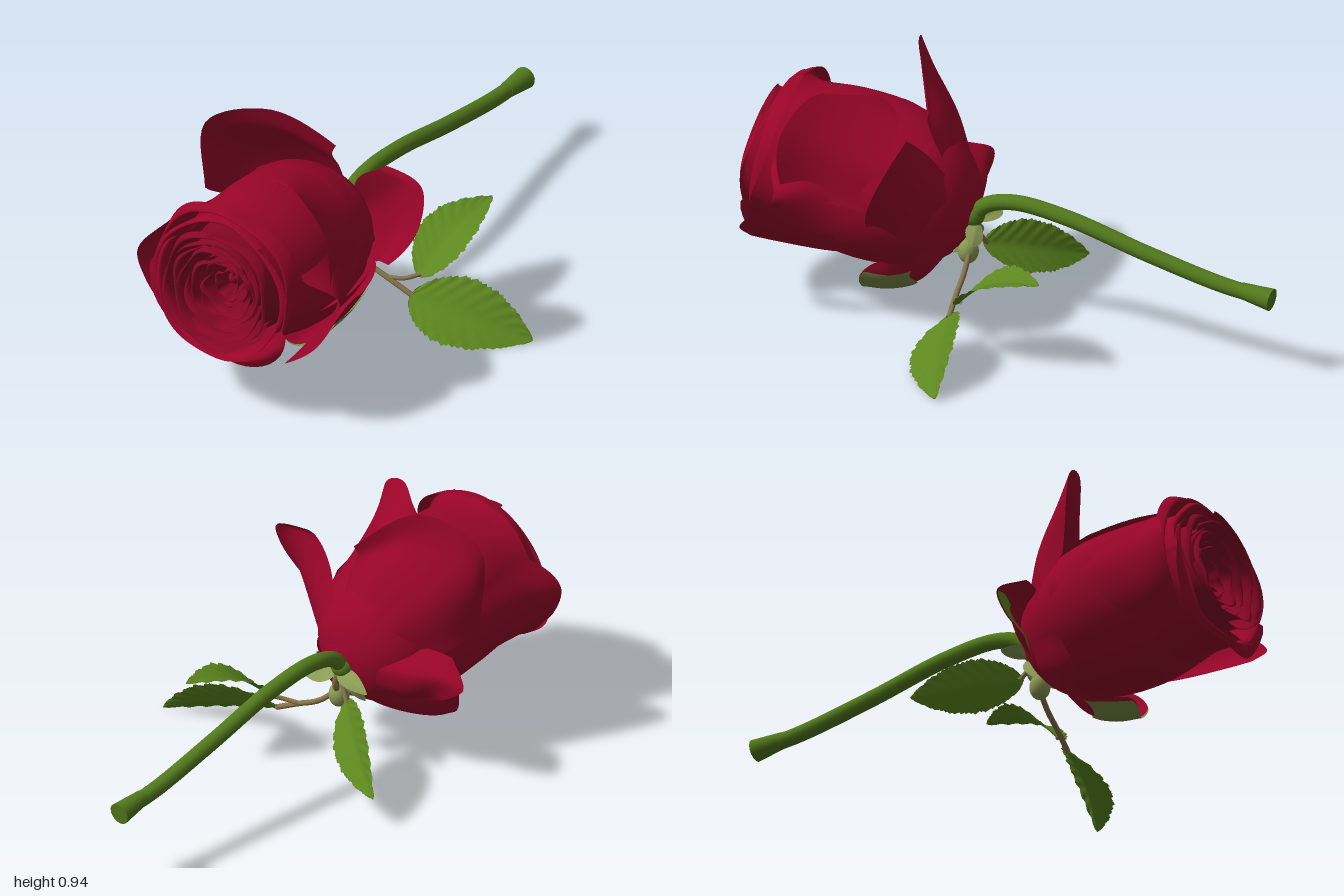
import * as THREE from 'three';

const mat = (name, color) => {
  const m = new THREE.MeshStandardMaterial({ color, side: THREE.DoubleSide });
  m.name = name;
  return m;
};
const V = (p) => new THREE.Vector3(...p);

export function createModel() {
  const group = new THREE.Group();
  const red = mat('petal red', 0x990529);
  const deepRed = mat('inner petal red', 0x860624);
  const leafGreen = mat('leaf green', 0x5d871f);
  const stemGreen = mat('stem green', 0x537a1c);
  const paleGreen = mat('sepal green', 0x8b9a55);
  const petalGreen = mat('petal back green', 0x788743);
  const twigBrown = mat('twig brown', 0x857349);

  const add = (name, geometry, material) => {
    const mesh = new THREE.Mesh(geometry, material);
    mesh.name = name;
    group.add(mesh);
    return mesh;
  };

  // Smooth sheet whose points come from fn(u, v)
  const sheet = (name, material, nu, nv, fn) => {
    const g = new THREE.PlaneGeometry(1, 1, nu, nv);
    const pos = g.attributes.position, uv = g.attributes.uv;
    for (let i = 0; i < pos.count; i++) {
      const p = fn(uv.getX(i), uv.getY(i));
      pos.setXYZ(i, p.x, p.y, p.z);
    }
    g.computeVertexNormals();
    return add(name, g, material);
  };

  // Cupped petal wrapped round the bloom axis, with a curled rim
  const cupPetal = (name, material, o) => {
    const { a, w, k, Z, R, curl, e = 0, back = 0.03, tilt = 0.06 } = o;
    const profile = new THREE.SplineCurve([
      [0.16, 0.02], [0.2, 0.14 * k], [0.3, 0.235 * k], [0.47, 0.283 * k], [0.65, 0.285 * k],
      [Z - 0.1, R * 0.6 + 0.285 * k * 0.4 - 0.012], [Z - 0.02, R], [Z, R + curl * 0.5], [Z - back, R + curl],
    ].map((p) => new THREE.Vector2(...p)));
    sheet(name, material, 28, 36, (u, v) => {
      const s = u * 2 - 1;
      const t = v * (1 - 0.16 * Math.abs(s) ** 4);
      const q = profile.getPoint(t);
      const angle = THREE.MathUtils.degToRad(a + w * s);
      const late = t ** 4;
      const r = q.y + 0.012 * s * Math.min(1, t * 3) + late * (e * s * s + 0.01 * Math.sin(angle * 5 + a));
      const z = q.x - late * (tilt * Math.sin(angle) - 0.009 * Math.sin(angle * 4 + a * 2));
      return new THREE.Vector3(-0.125 + r * Math.cos(angle), 0.415 + 0.11 * z + r * Math.sin(angle), z);
    });
  };

  // Outer cup
  cupPetal('lower outer petal', red, { a: 258, w: 84, k: 1, Z: 0.94, R: 0.23, curl: 0.045, e: 0.1, tilt: 0.04 });
  cupPetal('right outer petal', red, { a: 42, w: 74, k: 0.98, Z: 0.91, R: 0.265, curl: 0.025 });
  cupPetal('left outer petal', red, { a: 160, w: 74, k: 0.98, Z: 0.9, R: 0.285, curl: 0.03, back: 0.02 });

  // Nested rings of inner petals, tightening and sinking toward the centre
  const rings = [
    [0.25, 0.94], [0.205, 0.965], [0.175, 0.96], [0.14, 0.945], [0.105, 0.93], [0.072, 0.91], [0.04, 0.885],
  ];
  rings.forEach(([R, Z], i) => {
    for (let j = 0; j < 3; j++) {
      cupPetal('inner petal', i < 1 ? red : deepRed, {
        a: 100 + j * 120 + i * 47, w: 76, k: Math.min(0.94, (R + 0.02) / 0.285), Z: Z + 0.008 * (j - 1),
        R, curl: 0.022 - i * 0.0015, back: 0.008, tilt: 0.055 - i * 0.005,
      });
    }
  });
  const heart = add('bloom heart', new THREE.SphereGeometry(0.028, 16, 12), deepRed);
  heart.scale.z = 2;
  heart.position.set(-0.125, 0.512, 0.81);

  // Free petals lofted through four cross-sections, base to tip, with rounded corners
  const freePetal = (name, rows, patch) => {
    const curves = rows.map((r) => new THREE.CatmullRomCurve3(r.map(V)));
    const f = (u, v) => new THREE.CatmullRomCurve3(curves.map((c) => c.getPoint(u)))
      .getPoint(v * (1 - 0.14 * Math.abs(u * 2 - 1) ** 4));
    sheet(name, red, 22, 22, f);
    if (!patch) return;
    const [u0, u1, v0, v1, offset, material] = patch;
    sheet(name + ' green back', material, 16, 16, (u, v) =>
      f(u0 + (u1 - u0) * u, v0 + (v1 - v0) * v + 0.04 * Math.sin(u * 9) * (1 - v)).add(V(offset)));
  };
  freePetal('upper left petal', [
    [[-0.2, 0.42, 0.18], [-0.18, 0.46, 0.17], [-0.13, 0.47, 0.17], [-0.08, 0.46, 0.17]],
    [[-0.42, 0.48, 0.38], [-0.36, 0.65, 0.33], [-0.2, 0.74, 0.31], [-0.05, 0.7, 0.29]],
    [[-0.47, 0.54, 0.48], [-0.45, 0.78, 0.47], [-0.25, 0.87, 0.42], [-0.06, 0.77, 0.32]],
    [[-0.48, 0.58, 0.52], [-0.46, 0.87, 0.52], [-0.25, 0.955, 0.44], [-0.04, 0.82, 0.3]],
  ]);
  freePetal('upper right petal', [
    [[-0.08, 0.47, 0.17], [-0.06, 0.45, 0.17], [-0.05, 0.42, 0.17], [-0.06, 0.38, 0.17]],
    [[0.03, 0.68, 0.28], [0.13, 0.62, 0.28], [0.15, 0.5, 0.3], [0.12, 0.38, 0.32]],
    [[0.13, 0.77, 0.31], [0.25, 0.74, 0.31], [0.27, 0.6, 0.35], [0.2, 0.45, 0.4]],
    [[0.18, 0.8, 0.29], [0.31, 0.75, 0.3], [0.335, 0.62, 0.36], [0.28, 0.47, 0.43]],
  ]);
  freePetal('top flared petal', [
    [[-0.25, 0.64, 0.3], [-0.08, 0.68, 0.3], [0.06, 0.6, 0.3], [0.11, 0.45, 0.3]],
    [[-0.27, 0.72, 0.48], [-0.06, 0.762, 0.5], [0.11, 0.65, 0.5], [0.165, 0.48, 0.5]],
    [[-0.2, 0.76, 0.57], [0, 0.81, 0.62], [0.16, 0.71, 0.66], [0.19, 0.5, 0.68]],
    [[-0.08, 0.79, 0.6], [0.06, 0.845, 0.7], [0.21, 0.76, 0.76], [0.25, 0.54, 0.8]],
  ]);
  freePetal('right flared petal', [
    [[0.11, 0.6, 0.4], [0.145, 0.5, 0.4], [0.13, 0.38, 0.4], [0.07, 0.29, 0.4]],
    [[0.14, 0.62, 0.6], [0.175, 0.5, 0.6], [0.16, 0.37, 0.6], [0.1, 0.27, 0.6]],
    [[0.15, 0.61, 0.73], [0.24, 0.52, 0.72], [0.22, 0.38, 0.78], [0.13, 0.28, 0.82]],
    [[0.13, 0.61, 0.88], [0.272, 0.52, 0.77], [0.266, 0.4, 0.89], [0.14, 0.29, 0.98]],
  ]);
  freePetal('left flared petal', [
    [[-0.35, 0.6, 0.4], [-0.395, 0.49, 0.4], [-0.36, 0.35, 0.4], [-0.27, 0.25, 0.4]],
    [[-0.37, 0.62, 0.6], [-0.415, 0.5, 0.6], [-0.38, 0.36, 0.6], [-0.28, 0.25, 0.6]],
    [[-0.38, 0.65, 0.76], [-0.435, 0.53, 0.78], [-0.4, 0.38, 0.78], [-0.29, 0.27, 0.8]],
    [[-0.4, 0.67, 0.88], [-0.485, 0.54, 0.92], [-0.45, 0.42, 0.92], [-0.32, 0.29, 0.95]],
  ]);
  freePetal('left petal', [
    [[-0.18, 0.46, 0.18], [-0.19, 0.42, 0.18], [-0.18, 0.38, 0.18], [-0.16, 0.36, 0.18]],
    [[-0.34, 0.5, 0.32], [-0.38, 0.44, 0.24], [-0.36, 0.36, 0.24], [-0.3, 0.3, 0.26]],
    [[-0.45, 0.5, 0.35], [-0.5, 0.45, 0.28], [-0.46, 0.38, 0.28], [-0.4, 0.32, 0.3]],
    [[-0.5, 0.49, 0.36], [-0.585, 0.43, 0.3], [-0.52, 0.37, 0.29], [-0.42, 0.31, 0.31]],
  ], [0.36, 1, 0.45, 1, [0, 0, 0.006], leafGreen]);
  freePetal('lower left petal', [
    [[-0.19, 0.36, 0.18], [-0.16, 0.35, 0.18], [-0.12, 0.35, 0.18], [-0.1, 0.36, 0.18]],
    [[-0.36, 0.32, 0.32], [-0.28, 0.24, 0.3], [-0.18, 0.21, 0.3], [-0.1, 0.22, 0.3]],
    [[-0.42, 0.29, 0.42], [-0.35, 0.18, 0.42], [-0.22, 0.15, 0.42], [-0.1, 0.18, 0.42]],
    [[-0.44, 0.3, 0.46], [-0.36, 0.16, 0.5], [-0.22, 0.13, 0.52], [-0.08, 0.16, 0.48]],
  ]);
  freePetal('lower right petal', [
    [[-0.1, 0.36, 0.18], [-0.08, 0.36, 0.18], [-0.06, 0.37, 0.18], [-0.05, 0.39, 0.18]],
    [[-0.08, 0.21, 0.33], [0, 0.18, 0.31], [0.06, 0.24, 0.29], [0.1, 0.32, 0.28]],
    [[-0.1, 0.16, 0.47], [-0.01, 0.12, 0.43], [0.07, 0.19, 0.4], [0.11, 0.27, 0.37]],
    [[-0.12, 0.12, 0.62], [-0.04, 0.09, 0.56], [0.06, 0.17, 0.53], [0.1, 0.27, 0.47]],
  ], [0.03, 0.8, 0.42, 1, [0.004, -0.006, 0], petalGreen]);

  // Leaf blade with a folded midrib, raised veins and a toothed edge
  const leaf = (name, material, base, tip, side, half, bow, teeth) => {
    const b = V(base), len = V(tip).sub(b), sd = V(side).normalize();
    const up = len.clone().cross(sd).normalize();
    sheet(name, material, 12, 66, (u, v) => {
      const s = u * 2 - 1;
      const tooth = 1 + teeth * (((v * 22) % 1) - 0.5) * s * s;
      const width = half * Math.sin(Math.PI * v ** 0.75) ** 0.8 * tooth || 0;
      const lift = bow * Math.sin(Math.PI * v) + 0.2 * Math.abs(s) * width
        + (teeth ? 0.003 * Math.sin(55 * (v - 0.2 * Math.abs(s))) * Math.abs(s) : 0);
      return b.clone().addScaledVector(len, v).addScaledVector(sd, width * s).addScaledVector(up, lift);
    });
  };
  leaf('large right leaf', leafGreen, [0.15, 0.13, 0.14], [0.58, 0.02, 0], [0.08, 0.66, -0.75], 0.13, 0.02, 0.1);
  leaf('small right leaf', leafGreen, [0.16, 0.19, 0.1], [0.24, 0.365, -0.25], [-0.95, 0.1, -0.22], 0.105, 0.045, 0.1);
  leaf('left leaf', leafGreen, [-0.16, 0.28, 0.15], [-0.52, 0.13, -0.1], [-0.23, 0.37, 0.1], 0.095, 0.015, 0.1);

  // Sepals at the base of the bloom
  [[[-0.28, 0.36, 0.13], 0.035], [[0.02, 0.35, 0.11], 0.035], [[-0.06, 0.27, 0.22], 0.04], [[-0.19, 0.26, 0.22], 0.03]]
    .forEach(([tip, half]) => leaf('sepal', paleGreen, [-0.12, 0.38, 0.15], tip, [0.1, 0.4, 0.8], half, 0.01, 0));

  // Stem and its flared cut end
  const tube = (name, material, pts, r) =>
    add(name, new THREE.TubeGeometry(new THREE.CatmullRomCurve3(pts.map(V)), 48, r, 14), material);
  tube('stem', stemGreen, [
    [-0.125, 0.39, 0.18], [-0.125, 0.45, 0.12], [-0.125, 0.48, 0.01], [-0.122, 0.46, -0.2],
    [-0.12, 0.385, -0.5], [-0.12, 0.32, -0.8], [-0.118, 0.305, -0.95],
  ], 0.029);
  const end = add('cut stem end', new THREE.CylinderGeometry(0.041, 0.029, 0.12, 14), stemGreen);
  end.position.set(-0.118, 0.307, -0.93);
  end.rotation.x = -Math.PI / 2 - 0.12;
  const collar = add('stem collar', new THREE.SphereGeometry(0.045, 16, 12), stemGreen);
  collar.position.set(-0.125, 0.4, 0.175);

  // Twigs joining the leaves, and the small bud below the bloom
  tube('leaf twig', twigBrown, [[-0.11, 0.3, 0.17], [-0.02, 0.22, 0.16], [0.07, 0.175, 0.15], [0.16, 0.13, 0.137]], 0.01);
  tube('small leaf twig', twigBrown, [[0.06, 0.18, 0.15], [0.12, 0.185, 0.128], [0.165, 0.2, 0.09]], 0.008);
  tube('left leaf twig', twigBrown, [[-0.12, 0.36, 0.16], [-0.145, 0.32, 0.155], [-0.175, 0.275, 0.14]], 0.009);
  tube('bud twig', twigBrown, [[-0.12, 0.38, 0.15], [-0.11, 0.33, 0.15], [-0.1, 0.27, 0.18]], 0.012);
  const bud = add('small bud', new THREE.SphereGeometry(0.038, 16, 12), paleGreen);
  bud.scale.y = 1.25;
  bud.position.set(-0.1, 0.27, 0.18);

  return group;
}
